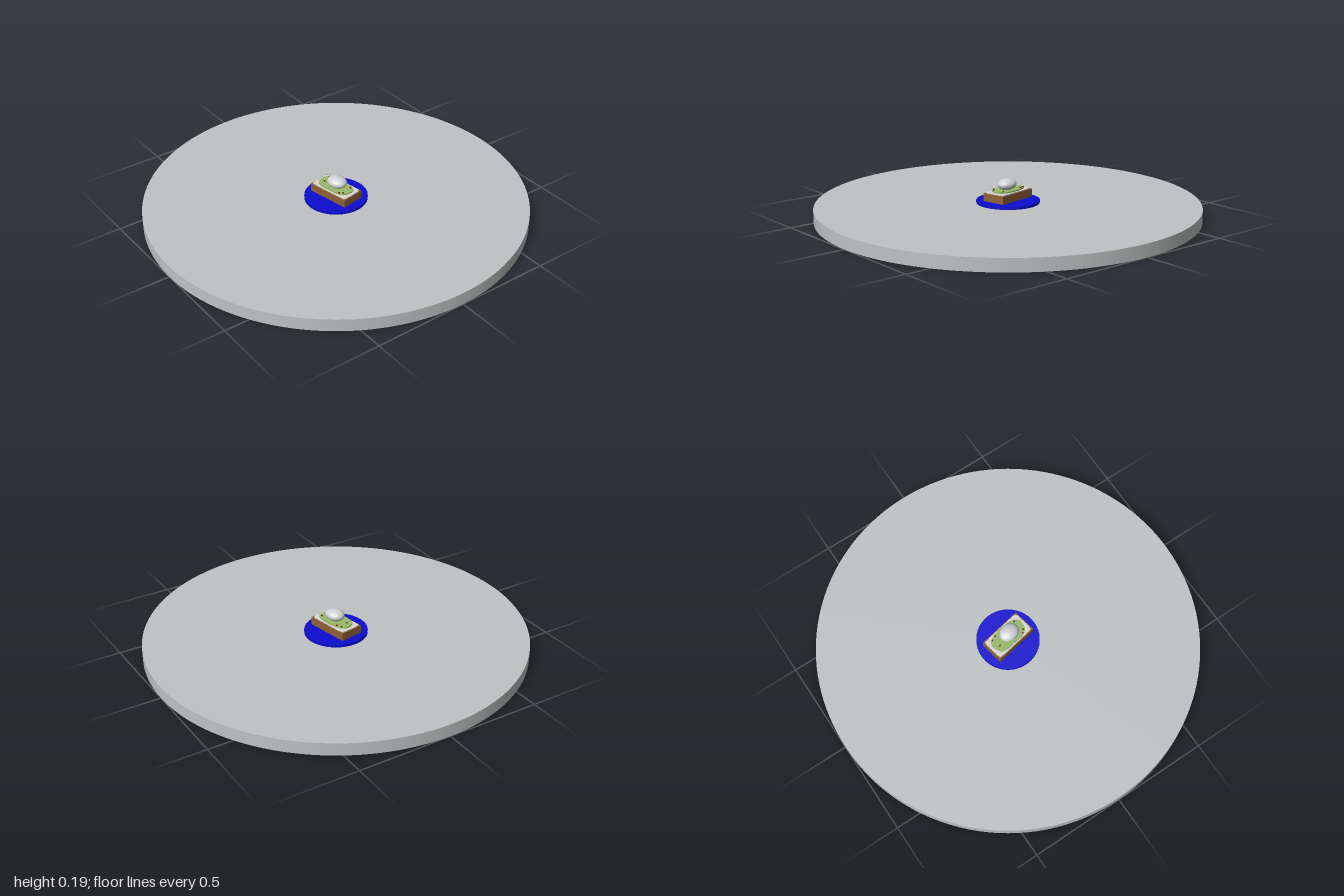
import * as THREE from 'three';

const mat = (name, color) => {
  const m = new THREE.MeshStandardMaterial({ color });
  m.name = name;
  return m;
};

export function createModel() {
  const stone = mat('table grey', 0xbfc3c3);
  const blue = mat('plate blue', 0x0c0cd0);
  const crust = mat('bread brown', 0x8f6238);
  const cream = mat('spread cream', 0xdcd9d2);
  const green = mat('avocado green', 0x98b868);
  const white = mat('egg white', 0xcfd3d5);
  const red = mat('flake dark red', 0x6a1c14);

  const model = new THREE.Group();
  const add = (parent, name, geometry, material, x = 0, y = 0, z = 0) => {
    const mesh = new THREE.Mesh(geometry, material);
    mesh.name = name;
    mesh.position.set(x, y, z);
    parent.add(mesh);
    return mesh;
  };

  // Round tabletop and plate
  add(model, 'tabletop', new THREE.CylinderGeometry(1, 1, 0.067, 128), stone, 0, 0.0335, 0);
  add(model, 'plate', new THREE.CylinderGeometry(0.165, 0.165, 0.014, 64), blue, 0, 0.075, 0);

  // Toast, turned slightly on the plate
  const toast = new THREE.Group();
  toast.name = 'toast';
  toast.rotation.y = 0.19;
  model.add(toast);
  add(toast, 'bread', new THREE.BoxGeometry(0.238, 0.042, 0.128), crust, 0, 0.107, 0);

  // Horizontal sheet extruded upwards from an outline
  const sheet = (points, depth) => {
    const g = new THREE.ExtrudeGeometry(new THREE.Shape(points), { depth, bevelEnabled: false });
    return g.rotateX(-Math.PI / 2);
  };

  // Spread with a ragged outline
  const ragged = [];
  const n = 64;
  for (let i = 0; i < n; i++) {
    const a = (i / n) * Math.PI * 2;
    const c = Math.cos(a), s = Math.sin(a);
    const r = (1 + 0.025 * Math.sin(i * 2.4)) / Math.pow(c ** 12 + s ** 12, 1 / 12);
    ragged.push(new THREE.Vector2(0.114 * r * c, 0.059 * r * s));
  }
  add(toast, 'spread', sheet(ragged, 0.004), cream, 0, 0.128, 0);

  // Avocado layer, a slightly wavy rounded oval
  const oval = [];
  for (let i = 0; i < n; i++) {
    const a = (i / n) * Math.PI * 2;
    const c = Math.cos(a), s = Math.sin(a);
    const r = (1 + 0.02 * Math.sin(5 * a)) / Math.pow(c ** 4 + s ** 4, 0.15);
    oval.push(new THREE.Vector2(0.1 * r * c, 0.054 * r * s));
  }
  add(toast, 'avocado', sheet(oval, 0.006), green, 0, 0.134, 0);

  // Poached egg
  const egg = add(toast, 'egg', new THREE.SphereGeometry(1, 40, 24), white, 0.008, 0.165, 0);
  egg.scale.set(0.055, 0.03, 0.045);

  // Chilli flakes
  const flakes = [[-0.078, -0.035], [-0.052, -0.042], [-0.07, 0.012], [0.062, 0.045], [0.078, 0.032], [0.075, -0.03]];
  flakes.forEach(([x, z], i) => {
    const flake = add(toast, 'flake', new THREE.BoxGeometry(0.009, 0.004, 0.006), red, x, 0.142, z);
    flake.rotation.y = i * 1.3;
  });

  return model;
}
